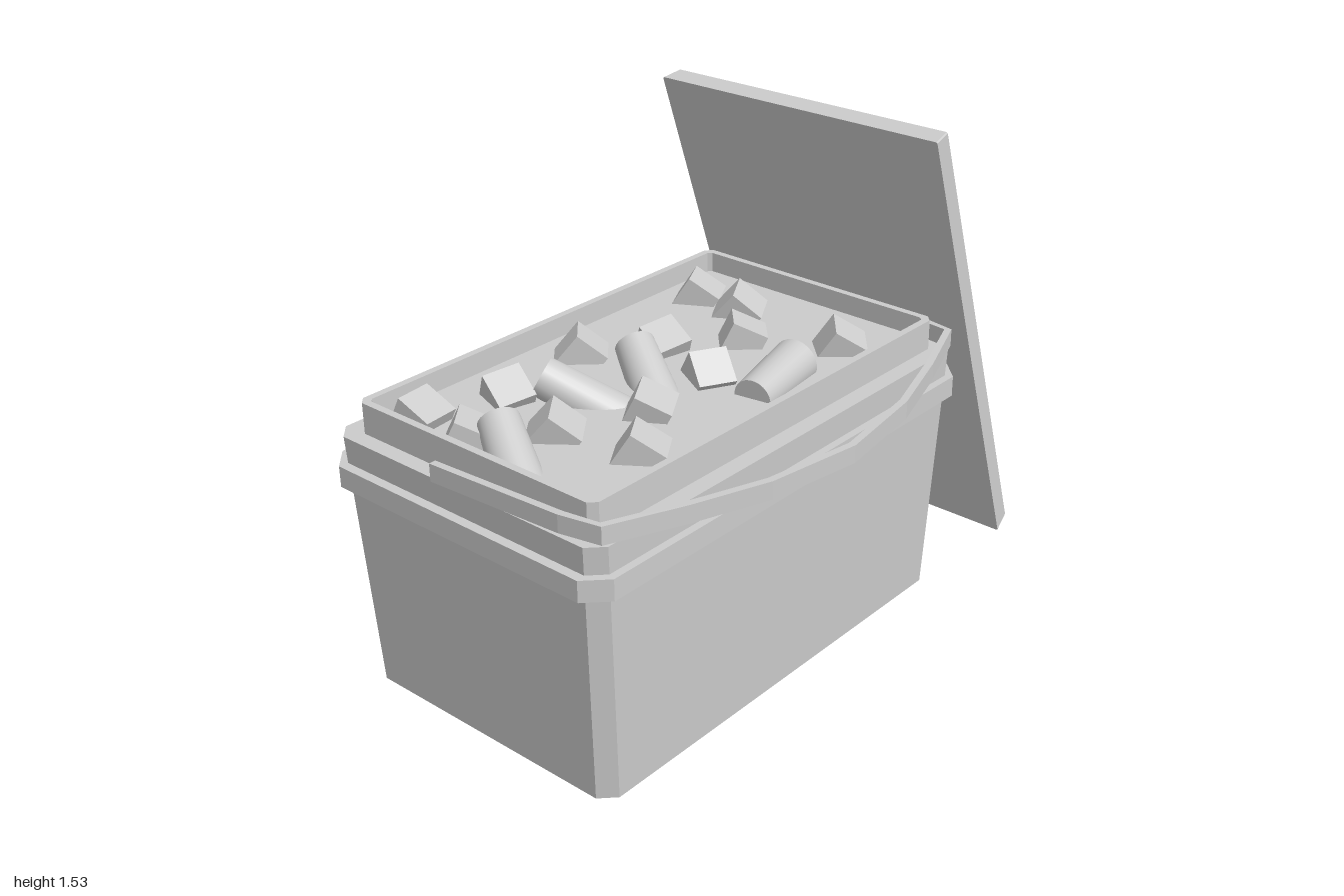
import * as THREE from 'three';

const CX = -0.177, CZ = -0.092; // centre of the tub

// Skin a list of equal cross-sections, closing both ends
function loft(rings) {
  const pos = [], n = rings[0].length;
  const tri = (...pts) => pts.forEach(p => pos.push(p.x, p.y, p.z));
  for (let i = 0; i < rings.length - 1; i++) {
    for (let j = 0; j < n; j++) {
      const k = (j + 1) % n, A = rings[i], B = rings[i + 1];
      tri(A[j], A[k], B[k]);
      tri(A[j], B[k], B[j]);
    }
  }
  const first = rings[0], last = rings[rings.length - 1];
  for (let j = 1; j < n - 1; j++) {
    tri(first[0], first[j + 1], first[j]);
    tri(last[0], last[j], last[j + 1]);
  }
  const g = new THREE.BufferGeometry();
  g.setAttribute('position', new THREE.Float32BufferAttribute(pos, 3));
  g.computeVertexNormals();
  return g;
}

// Rectangle with cut corners: half width, half depth, corner cut, height
function ring(x, z, c, y) {
  return [[-x + c, z], [x - c, z], [x, z - c], [x, -z + c],
    [x - c, -z], [-x + c, -z], [-x, -z + c], [-x, z - c]]
    .map(([px, pz]) => new THREE.Vector3(px, y, pz));
}

export function createModel() {
  const model = new THREE.Group();
  const flat = new THREE.MeshStandardMaterial({ color: 0xcccccc, flatShading: true });
  const smooth = new THREE.MeshStandardMaterial({ color: 0xcccccc });
  const add = (name, geometry, material = flat, parent = model) => {
    const m = new THREE.Mesh(geometry, material);
    m.name = name;
    parent.add(m);
    return m;
  };

  // Tapered tub with a stepped neck and thin lip, closed by the filling's surface
  add('tub', loft([
    ring(0.757, 0.475, 0.045, 0),
    ring(0.798, 0.504, 0.045, 0.815),
    ring(0.748, 0.45, 0.022, 0.815),
    ring(0.748, 0.45, 0.022, 0.91),
    ring(0.725, 0.427, 0.012, 0.91),
    ring(0.725, 0.427, 0.012, 0.845),
  ])).position.set(CX, 0, CZ);

  // Reinforcing band around the tub
  add('band', loft([
    ring(0.78, 0.49, 0.05, 0.667),
    ring(0.823, 0.525, 0.065, 0.667),
    ring(0.823, 0.525, 0.065, 0.732),
    ring(0.78, 0.49, 0.05, 0.732),
  ])).position.set(CX, 0, CZ);

  // Carrying handle: one half of the path, mirrored, swept with a flat section
  const half = [[-0.798, 0.838, -0.18], [-0.785, 0.85, 0.28], [-0.765, 0.852, 0.4],
    [-0.54, 0.845, 0.485], [-0.3, 0.838, 0.56]];
  const path = [...half, [0, 0.835, 0.602], ...half.map(([x, y, z]) => [-x, y, z]).reverse()]
    .map(([x, y, z]) => new THREE.Vector3(x + CX, y, z));
  const up = new THREE.Vector3(0, 1, 0);
  add('handle', loft(path.map((p, i) => {
    const t = path[Math.min(i + 1, path.length - 1)].clone().sub(path[Math.max(i - 1, 0)]);
    const u = new THREE.Vector3().crossVectors(up, t).normalize();
    return [[-1, -1], [1, -1], [1, 1], [-1, 1]].map(([a, b]) =>
      p.clone().addScaledVector(u, a * 0.011).addScaledVector(up, b * 0.027));
  })));

  // Lid leaning against the side, slightly smaller on its outer face
  const lid = add('lid', loft([ring(0.79, 0.518, 0.004, 0), ring(0.78, 0.508, 0.004, 0.067)]));
  lid.position.set(0.685, 0.768, CZ);
  lid.rotation.z = -1.242;

  // Tumbled cubes half sunk in the filling: x, z, turn
  const cubes = new THREE.Group();
  cubes.name = 'cubes';
  model.add(cubes);
  const cubeGeometry = new THREE.BoxGeometry(0.115, 0.115, 0.115);
  [[-0.81, -0.41, 0.1], [-0.56, -0.33, -0.25], [-0.22, -0.37, 0.75], [-0.02, -0.22, -0.2],
    [0.34, -0.39, 0.5], [0.34, -0.22, 0.6], [0.17, -0.07, 0.75], [0.32, 0.19, 0.8],
    [-0.09, 0.02, -0.5], [-0.37, 0.04, 0.6], [-0.57, 0.19, 0.6], [-0.63, -0.07, 0.75],
    [-0.81, -0.22, 0.7]].forEach(([x, z, turn], i) => {
    const cube = add('cube', cubeGeometry, flat, cubes);
    cube.position.set(x, 0.855, z);
    cube.rotation.set(0.45 + 0.12 * (i % 3), turn, 0.15 * (i % 2), 'YXZ');
  });

  // Rounded pieces poking out of the filling: centre, axis towards the raised end
  const pieces = new THREE.Group();
  pieces.name = 'cylinders';
  model.add(pieces);
  const pieceGeometry = new THREE.CylinderGeometry(0.06, 0.072, 0.25, 24);
  [[[-0.81, 0.852, -0.055], [0.42, 0.5, -0.8]],
    [[-0.425, 0.848, -0.175], [-0.42, 0.45, -0.75]],
    [[-0.21, 0.852, -0.11], [0.4, 0.5, -0.78]],
    [[0.01, 0.855, 0.185], [-1, -0.08, 0.15]]].forEach(([centre, axis]) => {
    const piece = add('cylinder', pieceGeometry, smooth, pieces);
    piece.position.set(...centre);
    piece.quaternion.setFromUnitVectors(up, new THREE.Vector3(...axis).normalize());
  });

  return model;
}
